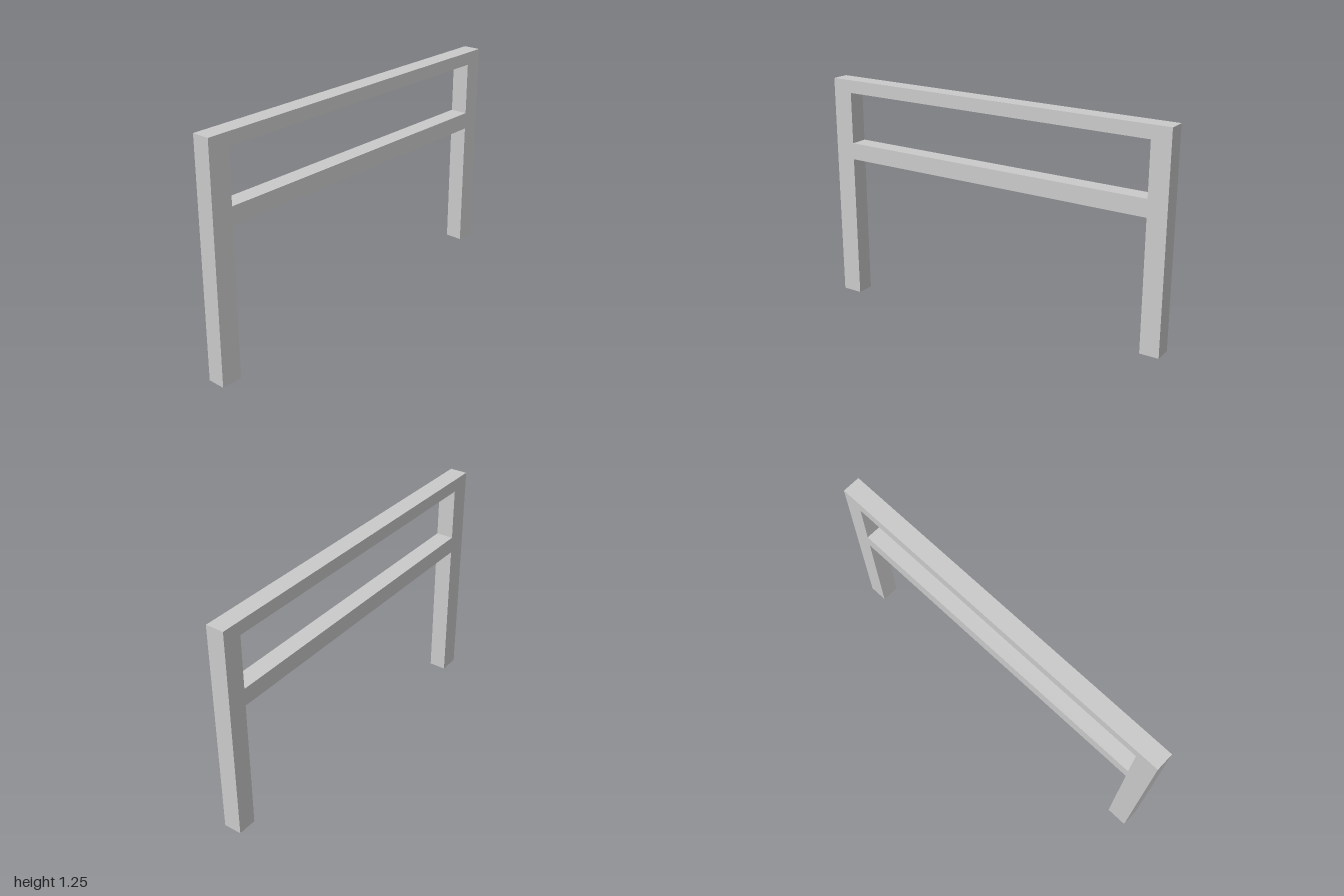
import * as THREE from 'three';

const DEPTH = 0.096;
const TOP = 1.25;
const LEFT_INNER = 0.897, RIGHT_INNER = -0.885; // inner faces of the two posts
const LEFT_FOOT = 0.105; // the left post stops short of the ground

const points = (list) => list.map(([x, y]) => new THREE.Vector2(x, y));

export function createModel() {
  const group = new THREE.Group();
  group.name = 'railFrame';

  // Outline: two posts of unequal length, joined by the rails
  const outline = new THREE.Shape(points([
    [-1, 0], [RIGHT_INNER, 0], [RIGHT_INNER, 0.805],
    [LEFT_INNER, 0.805], [LEFT_INNER, LEFT_FOOT], [1, LEFT_FOOT],
    [1, TOP], [-1, TOP],
  ]));

  // Opening between the top rail and the middle rail
  outline.holes.push(new THREE.Path(points([
    [RIGHT_INNER, 0.897], [RIGHT_INNER, 1.18], [LEFT_INNER, 1.18], [LEFT_INNER, 0.897],
  ])));

  // One flush piece, so the joints show no seams
  const geometry = new THREE.ExtrudeGeometry(outline, { depth: DEPTH, bevelEnabled: false });
  geometry.translate(0, 0, -DEPTH / 2);

  const frame = new THREE.Mesh(
    geometry,
    new THREE.MeshStandardMaterial({ color: 0xcccccc, flatShading: true }),
  );
  frame.name = 'postsAndRails';
  group.add(frame);
  return group;
}
